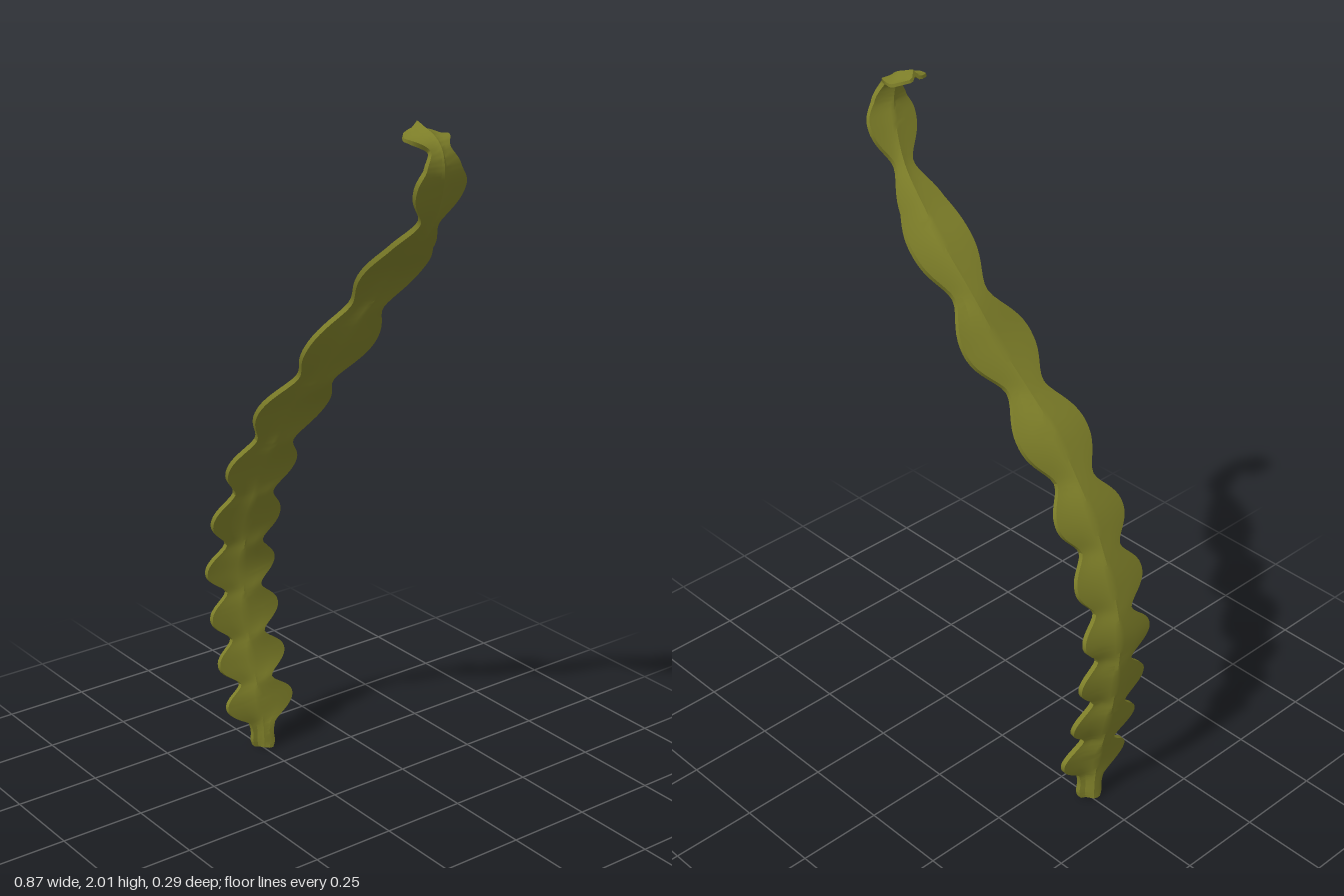
import * as THREE from 'three';
import { toCreasedNormals } from 'three/addons/utils/BufferGeometryUtils.js';

// Stations from stalk to tip: rib x, y, z, then z of the left and right edges.
// They alternate between the pinches and the lobes of the scalloped blade.
const STATIONS = [
  [-0.367, 0.0, 0.0, 0.02, -0.024],
  [-0.366, 0.02, 0.0, 0.027, -0.03],
  [-0.366, 0.08, 0.002, 0.034, -0.032],
  [-0.371, 0.15, 0.008, 0.11, -0.1],
  [-0.381, 0.215, 0.014, 0.056, -0.034],
  [-0.395, 0.285, 0.018, 0.12, -0.09],
  [-0.405, 0.355, 0.022, 0.068, -0.026],
  [-0.412, 0.43, 0.026, 0.132, -0.08],
  [-0.415, 0.505, 0.03, 0.076, -0.022],
  [-0.415, 0.58, 0.034, 0.144, -0.07],
  [-0.401, 0.66, 0.035, 0.084, -0.018],
  [-0.378, 0.745, 0.033, 0.145, -0.064],
  [-0.345, 0.835, 0.03, 0.09, -0.018],
  [-0.309, 0.925, 0.026, 0.135, -0.071],
  [-0.256, 1.02, 0.02, 0.075, -0.026],
  [-0.188, 1.13, 0.01, 0.115, -0.09],
  [-0.093, 1.24, -0.005, 0.05, -0.045],
  [-0.012, 1.35, -0.03, 0.078, -0.122],
  [0.065, 1.47, -0.052, -0.004, -0.088],
  [0.155, 1.58, -0.065, 0.03, -0.143],
  [0.25, 1.665, -0.055, 0.022, -0.11],
  [0.337, 1.75, -0.04, -0.006, -0.058],
  [0.392, 1.84, -0.02, 0.055, -0.091],
  [0.416, 1.9, -0.005, 0.043, -0.06],
  [0.41, 1.945, 0.0, 0.027, -0.03],
  [0.375, 1.975, 0.0, 0.06, -0.057],
  [0.342, 1.99, 0.0, 0.05, -0.042],
  [0.325, 1.996, 0.0, 0.022, -0.018],
];
const SEGMENTS = STATIONS.length - 1;

// Cross-section: [edge side, fraction of the way from rib to edge, offset along the normal]
const SECTION = [
  [0, 1, 0.006], [0, 0.5, 0.009], [0, 0.13, 0.013], [0, 0, 0.015],
  [1, 0.13, 0.013], [1, 0.5, 0.009], [1, 1, 0.006],
  [1, 1, -0.008], [1, 0.5, -0.009], [1, 0.13, -0.012], [0, 0, -0.015],
  [0, 0.13, -0.012], [0, 0.5, -0.009], [0, 1, -0.008],
];

// Makes the lobes broad and the pinches narrow
function lobeParameter(t) {
  const i = Math.min(SEGMENTS - 1, Math.floor(t * SEGMENTS));
  const s = t * SEGMENTS - i;
  const width = ([, , , l, r]) => l - r;
  const rising = width(STATIONS[i + 1]) > width(STATIONS[i]);
  return (i + s + (rising ? 0.4 : -0.4) * s * (1 - s)) / SEGMENTS;
}

function bladeGeometry(steps) {
  const rib = new THREE.CatmullRomCurve3(STATIONS.map(([x, y, z]) => new THREE.Vector3(x, y, z)));
  const edges = new THREE.CatmullRomCurve3(
    STATIONS.map(([, , , l, r], i) => new THREE.Vector3(l, r, i * 0.1)), false, 'catmullrom', 0.5);
  const n = SECTION.length;
  const pos = [], index = [];

  // Rings in the plane of the rib's normal and z
  for (let i = 0; i <= steps; i++) {
    const t = i / steps;
    const p = rib.getPoint(t), d = rib.getTangent(t), e = edges.getPoint(lobeParameter(t));
    const len = Math.hypot(d.x, d.y);
    const tx = d.x / len, ty = d.y / len;
    const tip = THREE.MathUtils.smoothstep(t, 0.9, 0.95);
    const thin = 1 - 0.4 * tip;
    // The blade is twisted along most of its length; the tip droops on both sides
    const twist = 1 - 0.75 * THREE.MathUtils.smoothstep(t, 0.66, 0.78);
    const lift = [
      THREE.MathUtils.lerp(0.012 * twist, 0.018, tip),
      THREE.MathUtils.lerp(-0.02 * twist, 0.018, tip),
    ];
    for (const [side, f, o] of SECTION) {
      const edgeZ = side === 0 ? e.x : e.y;
      const off = o * thin + lift[side] * Math.min(1, f * 1.6);
      const along = side === 1 ? 0.014 * twist * (1 - tip) * f * Math.min(1, t * 4) : 0;
      pos.push(
        p.x - ty * off + tx * along,
        p.y + tx * off + ty * along,
        p.z + (edgeZ - p.z) * f);
    }
  }
  for (let i = 0; i < steps; i++) {
    for (let j = 0; j < n; j++) {
      const a = i * n + j, b = i * n + ((j + 1) % n);
      index.push(a, a + n, b, b, a + n, b + n);
    }
  }

  // End caps: quads between the upper and lower outline
  const last = steps * n;
  for (let j = 0; j < n / 2 - 1; j++) {
    const a = j, b = j + 1, c = n - 2 - j, d = n - 1 - j;
    index.push(a, b, c, a, c, d);
    index.push(last + a, last + c, last + b, last + a, last + d, last + c);
  }

  const geo = new THREE.BufferGeometry();
  geo.setAttribute('position', new THREE.Float32BufferAttribute(pos, 3));
  geo.setIndex(index);

  // Stand the blade exactly on y = 0
  geo.computeBoundingBox();
  geo.translate(0, -geo.boundingBox.min.y, 0);
  return toCreasedNormals(geo, 0.5);
}

export function createModel() {
  const group = new THREE.Group();
  group.name = 'seaweedFrond';
  const material = new THREE.MeshStandardMaterial({ color: 0x7c7d28, side: THREE.DoubleSide });
  const blade = new THREE.Mesh(bladeGeometry(SEGMENTS * 8), material);
  blade.name = 'scallopedBlade';
  group.add(blade);
  return group;
}
